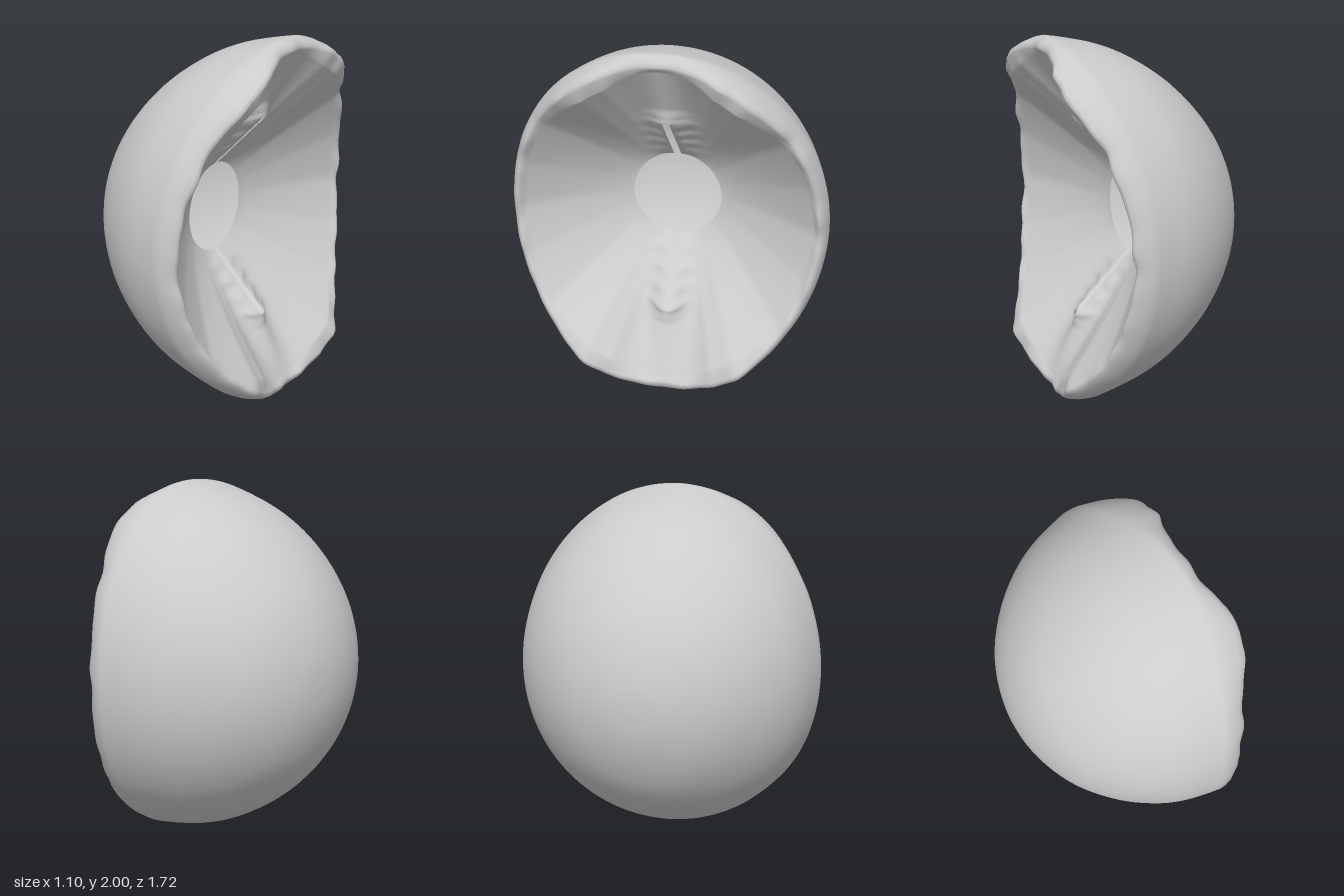
import * as THREE from 'three';

const SEGS = 192, HOLE_R = 0.245, HALF_H = 1.0, HALF_W = 0.86;
const CAVITY_ROWS = 50, SLOT_ROWS = 24;

// Piecewise linear lookup in a list of [input, output] pairs
function lookup(pairs, v) {
  for (let i = 1; i < pairs.length; i++) {
    const [a, fa] = pairs[i - 1], [b, fb] = pairs[i];
    if (v <= b) return fa + (fb - fa) * (v - a) / (b - a);
  }
  return pairs[pairs.length - 1][1];
}

// Smooth outer bowl profile: (radius fraction, depth fraction)
const bowlCurve = new THREE.CatmullRomCurve3([
  [0, 0], [0.15, 0.012], [0.34, 0.07], [0.524, 0.173], [0.73, 0.37], [0.87, 0.58], [0.937, 0.735], [0.98, 0.9], [1, 1],
].map(([s, d]) => new THREE.Vector3(s, d, 0)));

// Front edge of the rim, from the sides (0) to the top and bottom (1)
const RIM = [[0, 0.315], [0.3, 0.345], [0.6, 0.41], [0.72, 0.47], [0.85, 0.54], [0.93, 0.53], [1, 0.485]];

// Radius fraction where the lip meets the cavity, broadest at the four corners
const LIP_INNER = [[0, 0.92], [0.6, 0.91], [0.85, 0.875], [0.93, 0.875], [1, 0.92]];

// Lip cross-section: (radius fraction, blend from outer edge to rim front)
const LIP = [[0.998, 0.3], [0.985, 0.68], [0.968, 0.93], [0.95, 1], [0.935, 0.99]];

const rimX = (theta) => lookup(RIM, Math.abs(Math.sin(theta)));
const wobble = (theta) => 0.005 * Math.sin(17 * theta) + 0.004 * Math.sin(29 * theta + 1);
const outerEdgeX = (theta) => 0.22 + 0.2 * Math.sin(theta) ** 2;
const ellipsePoint = (x, s, theta) => [x, 1 + HALF_H * s * Math.sin(theta), HALF_W * s * Math.cos(theta)];

// Closed-loop surface from rows of cross-sections; isOpen(row, segment) leaves gaps
function loopSurface(rows, isOpen) {
  const pos = [], index = [];
  for (const row of rows)
    for (let j = 0; j < SEGS; j++) pos.push(...row((j + 0.5) / SEGS * Math.PI * 2));
  for (let i = 0; i < rows.length - 1; i++)
    for (let j = 0; j < SEGS; j++) {
      if (isOpen(i, j)) continue;
      const k = (j + 1) % SEGS;
      const a = i * SEGS + j, b = a + SEGS, c = i * SEGS + k, d = c + SEGS;
      index.push(a, b, c, c, b, d);
    }
  const geo = new THREE.BufferGeometry();
  geo.setAttribute('position', new THREE.Float32BufferAttribute(pos, 3));
  geo.setIndex(index);
  geo.computeVertexNormals();
  return geo;
}

// Point on the cavity wall; t runs from the round hole (0) to the lip (1)
function cavityPoint(t, th) {
  const edgeX = rimX(th) - 0.02;
  const [, ey, ez] = ellipsePoint(0, lookup(LIP_INNER, Math.abs(Math.sin(th))), th);
  const y = THREE.MathUtils.lerp(1 + HOLE_R * Math.sin(th), ey, t);
  let z = THREE.MathUtils.lerp(HOLE_R * Math.cos(th), ez, t);

  // A narrow ridge carries each slot, flanked by small gathered folds
  const funnel = edgeX * Math.pow(t, 1.15);
  const ridge = lookup([[0, 0], [0.48, 0.32], [0.6, 0.33], [1, edgeX]], t);
  const folds = 0.01 * Math.sin(75 * y) * Math.sin(Math.PI * Math.min(1, t / 0.6))
    * (Math.exp(-((z / 0.1) ** 2)) - Math.exp(-((z / 0.03) ** 2)));
  const x = THREE.MathUtils.lerp(funnel, ridge, Math.exp(-((z / 0.1) ** 2))) + folds;

  // Spread the wall apart to the slot width
  if (t < 0.485) {
    const halfGap = 0.02 - Math.abs(y - 1) * Math.PI / SEGS;
    z += Math.sign(z) * halfGap * Math.exp(-((z / 0.1) ** 2));
  }
  return [x, y, z];
}

export function createModel() {
  const group = new THREE.Group();
  const material = new THREE.MeshStandardMaterial({ color: 0xcccccc, side: THREE.DoubleSide });
  const rows = [];

  // Outer bowl, from the pole to its widest edge
  for (let i = 0; i <= 28; i++) {
    const p = bowlCurve.getPoint(i / 28);
    rows.push((th) => ellipsePoint(-0.555 + (outerEdgeX(th) + 0.555) * p.y, p.x, th));
  }

  // Rounded, uneven lip
  for (const [s, blend] of LIP)
    rows.push((th) => ellipsePoint(THREE.MathUtils.lerp(outerEdgeX(th), rimX(th) + wobble(th), blend), s, th));

  // Inner cavity, funnelling to an open round hole into the hollow shell
  for (let i = 0; i <= CAVITY_ROWS; i++) rows.push((th) => cavityPoint(1 - i / CAVITY_ROWS, th));

  // Narrow slots run up and down from the hole
  const firstSlotRow = rows.length - 1 - SLOT_ROWS;
  const isSlot = (i, j) => i >= firstSlotRow && (j + 1) % (SEGS / 2) === SEGS / 4;

  const shell = new THREE.Mesh(loopSurface(rows, isSlot), material);
  shell.name = 'hollowShell';
  group.add(shell);
  return group;
}
